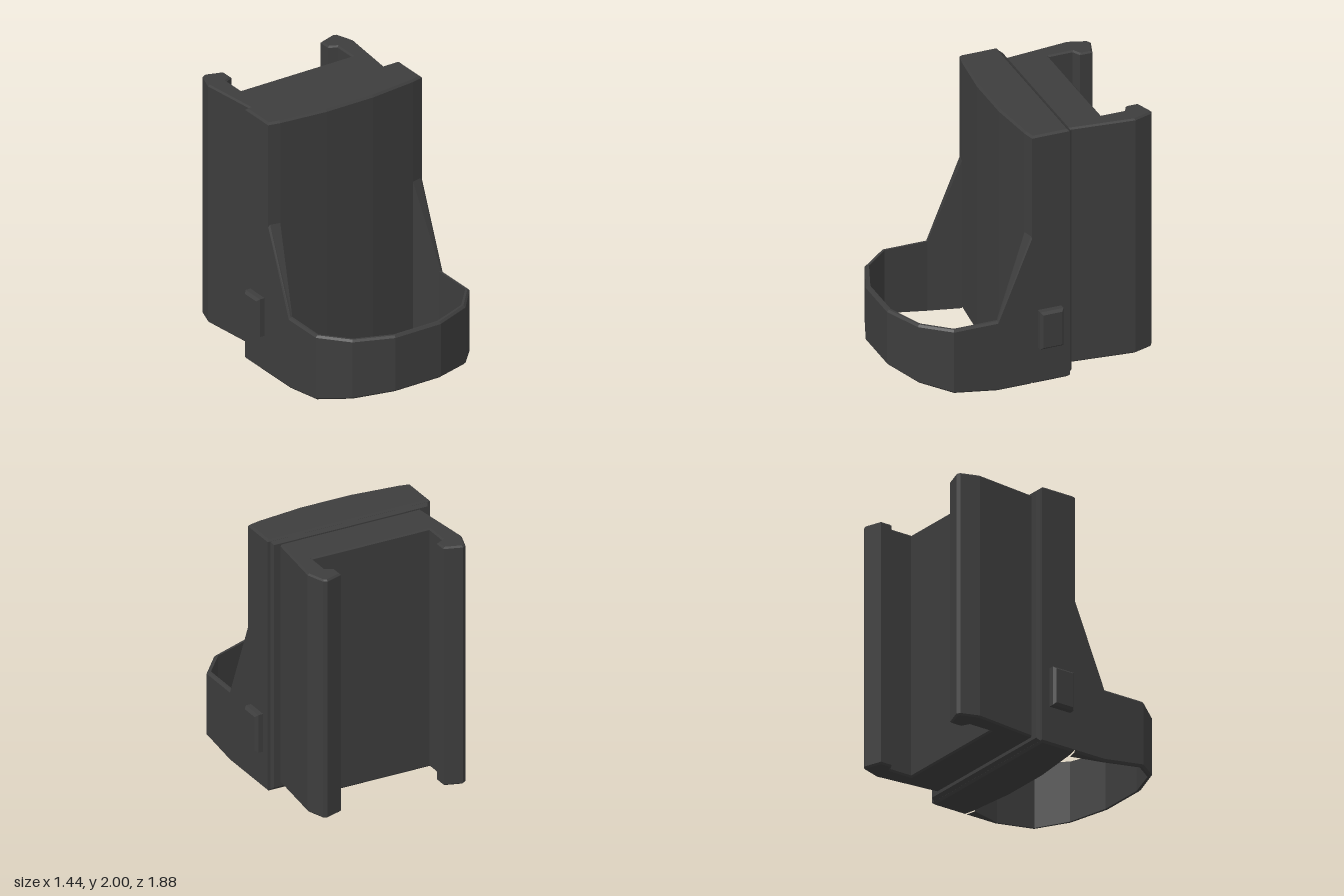
import * as THREE from 'three';

const charcoal = new THREE.MeshStandardMaterial({ color: 0x3d3d3d });
charcoal.name = 'charcoal plastic';

// Closes a right-hand [x, z] profile with its mirror image
const mirrored = (half) => [...half, ...half.map(([x, z]) => [-x, z]).reverse()];

// Upright prism from an [x, z] outline, with chamfered top and bottom edges
function prism(name, outline, y0, y1, bevel) {
  const shape = new THREE.Shape(outline.map(([x, z]) => new THREE.Vector2(x, -z)));
  const geo = new THREE.ExtrudeGeometry(shape, {
    depth: y1 - y0 - 2 * bevel, bevelEnabled: true, bevelSegments: 1,
    bevelSize: bevel, bevelThickness: bevel, bevelOffset: -bevel,
  });
  geo.rotateX(-Math.PI / 2).translate(0, y0 + bevel, 0);
  const mesh = new THREE.Mesh(geo, charcoal);
  mesh.name = name;
  return mesh;
}

// Box whose far (+z) face is inset on all four edges
function taperedBox(name, w, h, d, insetX, insetY) {
  const geo = new THREE.BoxGeometry(w, h, d);
  const p = geo.attributes.position;
  for (let i = 0; i < p.count; i++) {
    if (p.getZ(i) > 0) {
      p.setX(i, p.getX(i) - Math.sign(p.getX(i)) * insetX);
      p.setY(i, p.getY(i) - Math.sign(p.getY(i)) * insetY);
    }
  }
  geo.computeVertexNormals();
  const mesh = new THREE.Mesh(geo, charcoal);
  mesh.name = name;
  return mesh;
}

// Thin wall looping round the front, with gussets running up to the plate
function frontLoop() {
  // outer x, z; inner x, z; bottom; top
  const half = [
    [0.66, 0.02, 0.57, 0.04, 0, 1.19],
    [0.66, 0.28, 0.63, 0.28, 0, 0.56],
    [0.66, 0.62, 0.63, 0.61, 0.05, 0.56],
    [0.485, 0.825, 0.465, 0.80, 0.09, 0.56],
    [0.195, 0.94, 0.185, 0.908, 0.115, 0.56],
  ];
  const stations = [...half, ...half.map(([a, b, c, d, e, f]) => [-a, b, -c, d, e, f]).reverse()];
  const c = 0.015;
  const pos = [], idx = [];
  for (const [ox, oz, ix, iz, y0, y1] of stations) {
    const t = Math.min(0.5, c / Math.hypot(ix - ox, iz - oz));
    const mx = ox + (ix - ox) * t, mz = oz + (iz - oz) * t;
    pos.push(mx, y0, mz, ox, y0 + c, oz, ox, y1 - c, oz, mx, y1, mz, ix, y1, iz, ix, y0, iz);
  }
  const n = 6;
  for (let i = 0; i < stations.length - 1; i++) {
    for (let j = 0; j < n; j++) {
      const k = (j + 1) % n;
      const a = i * n + j, b = a + n, e = i * n + k, f = e + n;
      idx.push(a, e, b, b, e, f);
    }
  }
  let geo = new THREE.BufferGeometry();
  geo.setAttribute('position', new THREE.Float32BufferAttribute(pos, 3));
  geo.setIndex(idx);
  geo = geo.toNonIndexed();
  geo.computeVertexNormals();
  const mesh = new THREE.Mesh(geo, charcoal);
  mesh.name = 'frontLoop';
  return mesh;
}

export function createModel() {
  const model = new THREE.Group();
  model.name = 'holster';

  // Main plate with a gently faceted front
  model.add(prism('backPlate', mirrored([
    [0.66, -0.27], [0.66, 0.02], [0.57, 0.04], [0.2, 0.08],
  ]), 0, 2, 0.015));

  // Chamfered lip behind the plate
  const lip = taperedBox('rearLip', 1.28, 1.98, 0.035, 0.015, 0.025);
  lip.rotation.y = Math.PI;
  lip.position.set(0, 1, -0.2795);
  model.add(lip);

  model.add(frontLoop());

  // Rear channel with hooked clip arms
  model.add(prism('clipChannel', mirrored([
    [0.57, -0.28], [0.625, -0.79], [0.578, -0.93], [0.55, -0.945],
    [0.415, -0.9], [0.415, -0.805], [0.475, -0.773], [0.475, -0.59],
  ]), 0.06, 1.955, 0.012));

  // Side buttons
  for (const s of [1, -1]) {
    const button = new THREE.Group();
    button.name = s > 0 ? 'leftButton' : 'rightButton';
    const base = taperedBox('buttonBase', 0.18, 0.3, 0.06, 0, 0);
    base.position.z = 0.01;
    const cap = taperedBox('buttonCap', 0.18, 0.3, 0.02, 0.018, 0.018);
    cap.position.z = 0.05;
    button.add(base, cap);
    button.rotation.y = s * Math.PI / 2;
    button.position.set(s * 0.66, 0.44, -0.115);
    model.add(button);
  }
  return model;
}
